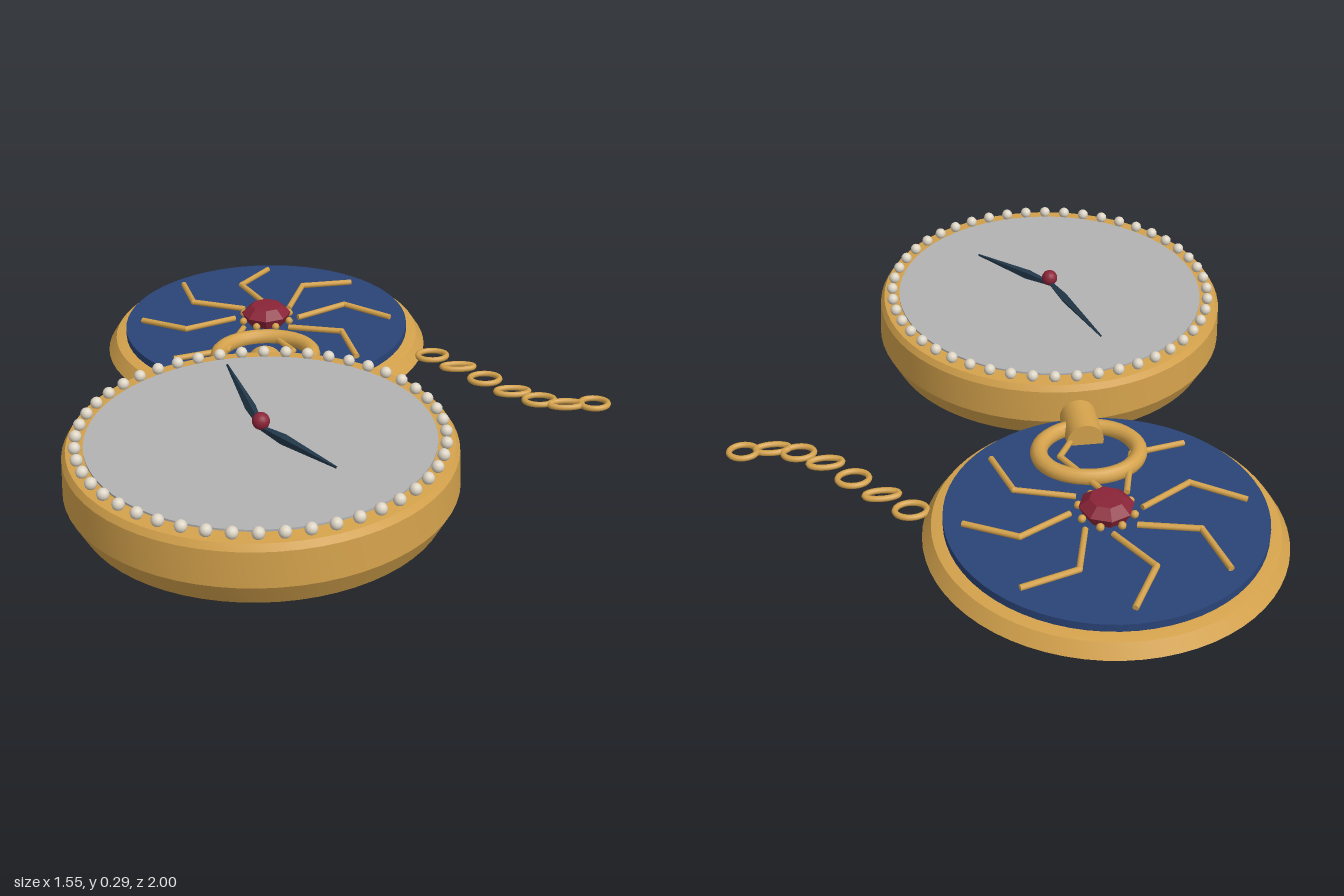
import * as THREE from 'three';
import { toCreasedNormals } from 'three/addons/utils/BufferGeometryUtils.js';

const mat = (name, color) => Object.assign(new THREE.MeshStandardMaterial({ color }), { name });

export function createModel() {
  const gold = mat('gold', 0xd4a24c);
  const blue = mat('blue enamel', 0x2a4478);
  const red = mat('ruby', 0x8a2438);
  const steel = mat('dark steel', 0x22384a);
  const pearl = mat('pearl', 0xdcd4c4);
  const dialGrey = mat('dial grey', 0xb3b3b3);

  const model = new THREE.Group();
  model.name = 'pocketWatch';
  const group = (name, x, z) => {
    const g = new THREE.Group();
    g.name = name;
    g.position.set(x, 0, z);
    model.add(g);
    return g;
  };
  const add = (parent, name, geo, material, x = 0, y = 0, z = 0) => {
    const m = new THREE.Mesh(geo, material);
    m.name = name;
    m.position.set(x, y, z);
    parent.add(m);
    return m;
  };
  const turned = (points, segments = 64) => toCreasedNormals(
    new THREE.LatheGeometry(points.map(([r, y]) => new THREE.Vector2(r, y)), segments), 0.25);
  const V = (x, y, z) => new THREE.Vector3(x, y, z);
  const up = V(0, 1, 0);

  // Watch case with dial
  const watch = group('watch', -0.25, 0.47);
  add(watch, 'case', turned([[0, 0], [0.36, 0], [0.495, 0.035], [0.53, 0.1], [0.526, 0.2],
    [0.515, 0.218], [0.46, 0.222], [0.46, 0.2], [0, 0.2]]), gold);
  add(watch, 'dial', new THREE.CylinderGeometry(0.468, 0.468, 0.009, 64), dialGrey, 0, 0.2225, 0);

  // Pearl bezel
  const pearlGeo = new THREE.SphereGeometry(0.017, 12, 8);
  for (let i = 0; i < 48; i++) {
    const a = i / 48 * Math.PI * 2;
    add(watch, 'pearl', pearlGeo, pearl, Math.sin(a) * 0.49, 0.232, Math.cos(a) * 0.49);
  }

  // Hands: slim four-sided blades tapering to a point
  const hand = (name, from, to) => {
    const dir = to.clone().sub(from);
    const len = dir.length();
    const blade = turned([[0.007, 0], [0.015, len * 0.3], [0.003, len]], 4);
    const m = add(watch, name, blade, steel, from.x, from.y, from.z);
    m.quaternion.setFromUnitVectors(up, dir.normalize());
  };
  hand('minuteHand', V(0, 0.254, 0), V(-0.1, 0.264, -0.345));
  hand('hourHand', V(0, 0.25, 0), V(0.195, 0.246, 0.21));
  add(watch, 'handPin', new THREE.SphereGeometry(0.024, 16, 12), red, 0, 0.27, 0);

  // Stem and bow
  const stem = add(model, 'stem', new THREE.CylinderGeometry(0.053, 0.053, 0.16, 24), gold, -0.25, 0.118, -0.105);
  stem.rotation.x = Math.PI / 2;
  const bow = add(model, 'bow', new THREE.TorusGeometry(0.142, 0.025, 12, 40).rotateX(Math.PI / 2), gold,
    -0.25, 0.118, -0.235);
  bow.scale.z = 0.84;

  // Open lid with enamel panel
  const lid = group('lid', -0.25, -0.5);
  add(lid, 'lidShell', turned([[0, 0], [0.4, 0], [0.5, 0.036], [0.475, 0.075], [0.44, 0.082], [0, 0.082]]), gold);
  add(lid, 'enamelPanel', new THREE.CylinderGeometry(0.443, 0.443, 0.03, 64), blue, 0, 0.09, 0);

  // Gem with prongs
  const gem = new THREE.LatheGeometry(
    [[0.06, 0.1], [0.077, 0.135], [0.048, 0.16], [0, 0.162]].map(([r, y]) => new THREE.Vector2(r, y)), 8);
  add(lid, 'gem', toCreasedNormals(gem, 0.05), red);

  // Eight bent legs radiating from the gem
  const legPath = new THREE.CurvePath();
  const [base, knee, tip] = [V(0.1, 0.115, 0), V(0.249, 0.12, -0.085), V(0.392, 0.112, 0)];
  const bar = (a, b) => {
    const d = b.clone().sub(a);
    const geo = new THREE.CylinderGeometry(0.009, 0.009, d.length(), 8);
    geo.applyQuaternion(new THREE.Quaternion().setFromUnitVectors(up, d.clone().normalize()));
    const mid = a.clone().add(b).multiplyScalar(0.5);
    return geo.translate(mid.x, mid.y, mid.z);
  };
  const inner = bar(base, knee), outer = bar(knee, tip);
  const ball = new THREE.SphereGeometry(0.0095, 8, 6);
  const prong = new THREE.SphereGeometry(0.012, 8, 6);
  for (let i = 0; i < 8; i++) {
    const leg = new THREE.Group();
    leg.name = 'leg';
    leg.rotation.y = i * Math.PI / 4;
    lid.add(leg);
    add(leg, 'innerLeg', inner, gold);
    add(leg, 'outerLeg', outer, gold);
    add(leg, 'knee', ball, gold, knee.x, knee.y, knee.z);
    add(leg, 'prong', prong, gold, 0.072, 0.118, 0.03);
  }

  // Chain of flat oval links: x, z, half width, half depth
  const links = [
    [0.267, -0.347, 0.054, 0.042], [0.341, -0.267, 0.058, 0.028], [0.415, -0.183, 0.054, 0.043],
    [0.489, -0.098, 0.058, 0.032], [0.563, -0.04, 0.054, 0.04], [0.637, -0.01, 0.058, 0.03],
    [0.722, -0.013, 0.05, 0.042],
  ];
  const chain = group('chain', 0, 0);
  for (const [x, z, rx, rz] of links) {
    const oval = new THREE.CatmullRomCurve3(Array.from({ length: 16 }, (_, i) => {
      const a = i / 16 * Math.PI * 2;
      return V(Math.cos(a) * (rx - 0.009), 0, Math.sin(a) * (rz - 0.009));
    }), true);
    add(chain, 'chainLink', new THREE.TubeGeometry(oval, 32, 0.009, 8, true), gold, x, 0.05, z);
  }
  return model;
}
